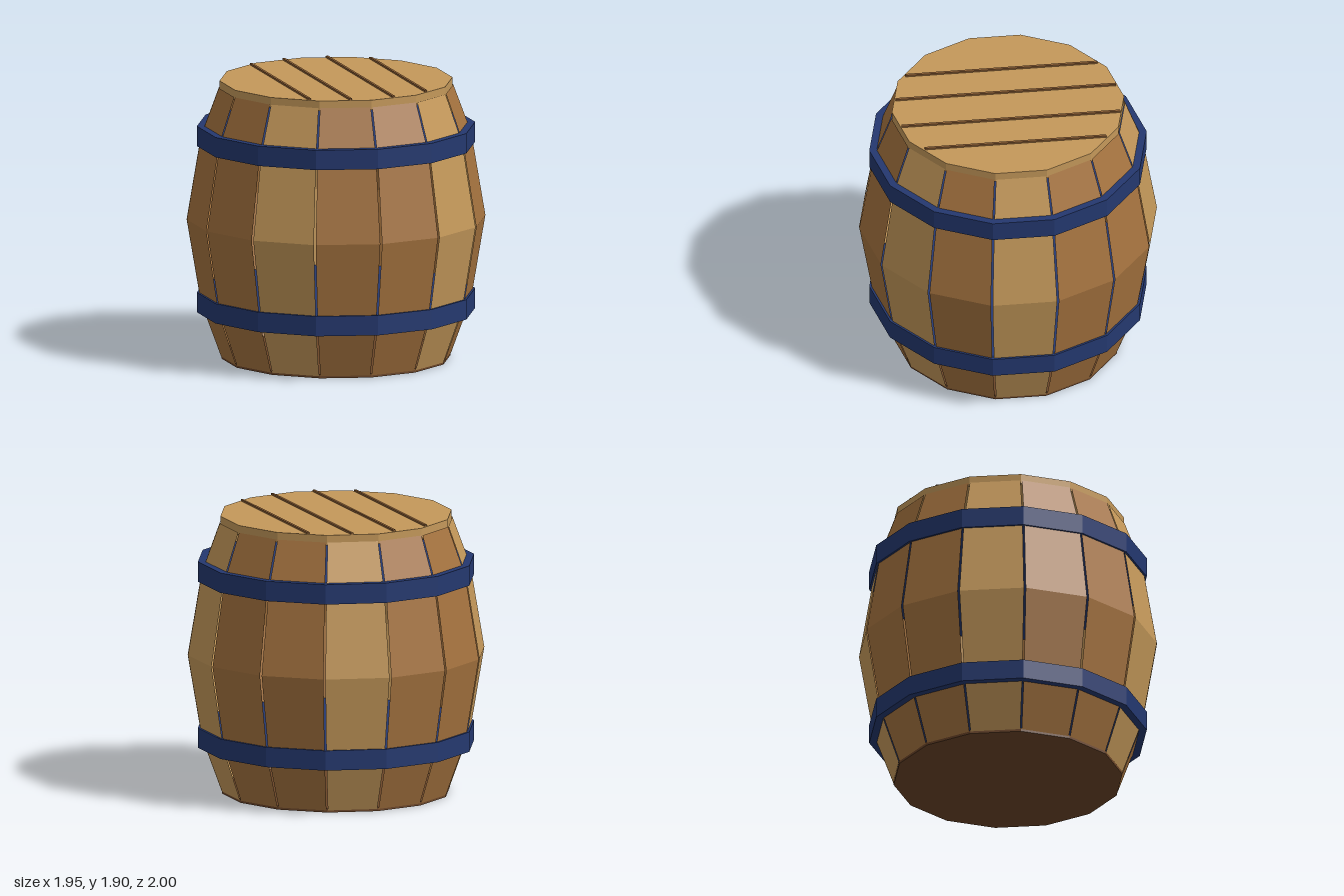
import * as THREE from 'three';

const SIDES = 14;
const STEP = (Math.PI * 2) / SIDES;

function material(name, color, side = THREE.FrontSide) {
  const m = new THREE.MeshStandardMaterial({ color, flatShading: true, side });
  m.name = name;
  return m;
}

export function createModel() {
  const lightWood = material('lightWood', 0xc4985a, THREE.DoubleSide);
  const brownWood = material('brownWood', 0xa5733f, THREE.DoubleSide);
  const lidWood = material('lidWood', 0xc4985a);
  const seamWood = material('seamWood', 0x8b5e34);
  const baseWood = material('baseWood', 0x6b4528);
  const hoopBlue = material('hoopBlue', 0x24386f);

  const barrel = new THREE.Group();
  barrel.name = 'barrel';
  const add = (name, geometry, mat, x, y, z) => {
    const mesh = new THREE.Mesh(geometry, mat);
    mesh.name = name;
    mesh.position.set(x, y, z);
    barrel.add(mesh);
  };
  // Fourteen-sided slab between two heights
  const slab = (name, radius, y0, y1, mat) =>
    add(name, new THREE.CylinderGeometry(radius, radius, y1 - y0, SIDES), mat, 0, (y0 + y1) / 2, 0);

  // Bulging staves, separated by narrow gaps; every third one is lighter
  const profile = [[0.77, 0.015], [0.905, 0.385], [1, 0.95], [0.905, 1.515], [0.785, 1.84]]
    .map(([r, y]) => new THREE.Vector2(r, y));
  const gap = 0.013;
  for (let i = 0; i < SIDES; i++) {
    const angle = (i + 3) * STEP + gap / 2;
    const geometry = new THREE.LatheGeometry(profile, 1, angle, STEP - gap).toNonIndexed();
    geometry.computeVertexNormals();
    add('stave' + (i + 1), geometry, i % 3 === 0 ? lightWood : brownWood, 0, 0, 0);
  }

  // Solid hoops, base and lid
  slab('lowerHoop', 0.932, 0.317, 0.452, hoopBlue);
  slab('upperHoop', 0.932, 1.447, 1.582, hoopBlue);
  slab('base', 0.768, 0, 0.025, baseWood);
  slab('lid', 0.78, 1.82, 1.888, lidWood);

  // Raised seams running front to back across the lid
  for (const [x, length] of [[-0.39, 1.29], [-0.13, 1.48], [0.17, 1.47], [0.435, 1.22]]) {
    add('lidSeam', new THREE.BoxGeometry(0.018, 0.02, length), seamWood, x, 1.89, 0);
  }
  return barrel;
}
